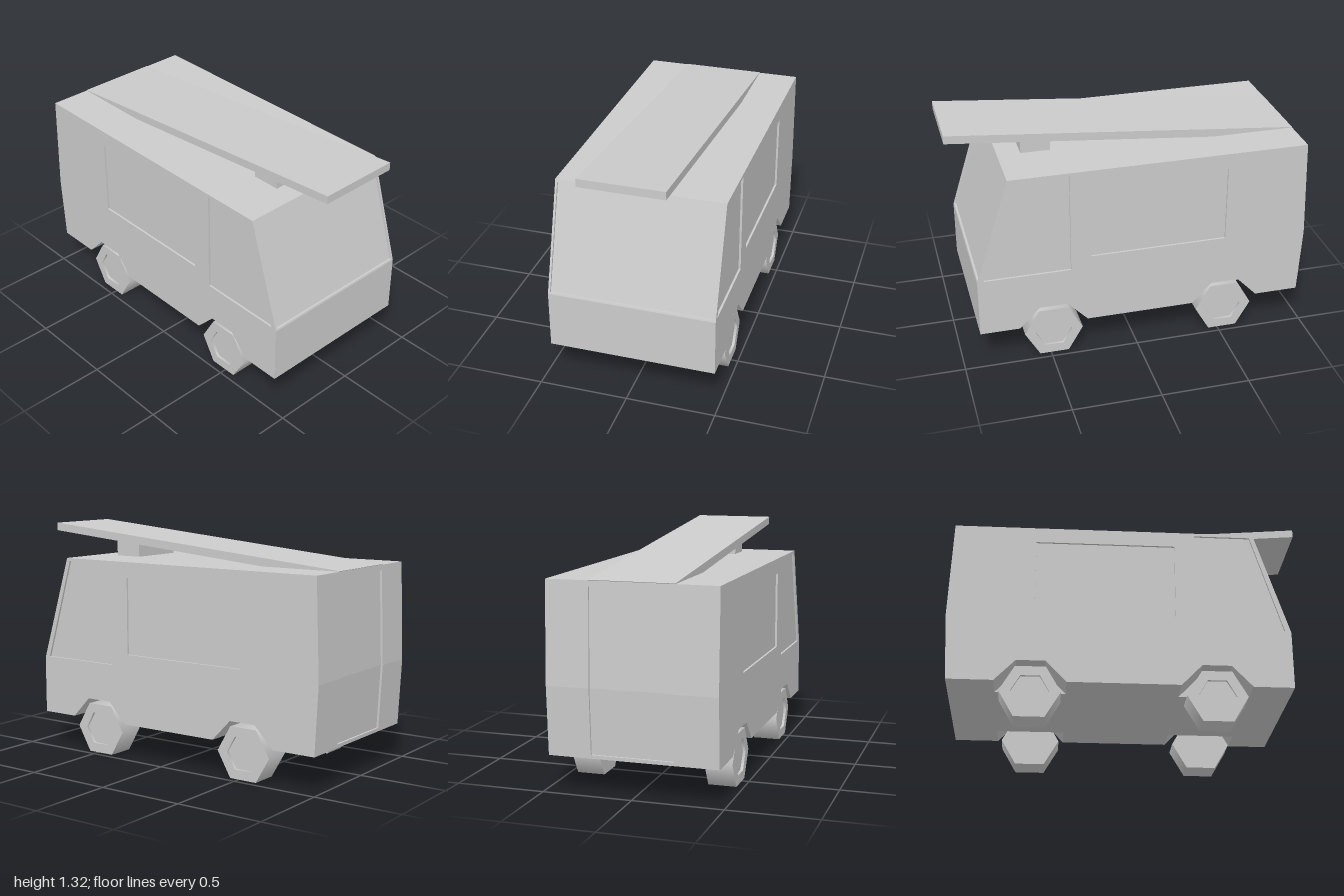
import * as THREE from 'three';

const grey = new THREE.MeshStandardMaterial({ color: 0xcccccc, side: THREE.DoubleSide });
const HALF = 0.47, SKIN = 0.012, INNER = HALF - SKIN, WELL = 0.3;

// Extrudes a side outline of [z, y] points from x0 to x1
function slab(name, points, x0, x1, holes = []) {
  const toVectors = (list) => list.map(([z, y]) => new THREE.Vector2(-z, y));
  const shape = new THREE.Shape(toVectors(points));
  for (const hole of holes) shape.holes.push(new THREE.Path(toVectors(hole)));
  const geometry = new THREE.ExtrudeGeometry(shape, { depth: x1 - x0, bevelEnabled: false });
  geometry.rotateY(Math.PI / 2).translate(x0, 0, 0);
  const mesh = new THREE.Mesh(geometry, grey);
  mesh.name = name;
  return mesh;
}

// Front and rear faces of the van at height y, i is the inset
const frontZ = (y, i = 0) => (y <= 0.53 ? 0.9 : 0.9 - ((y - 0.53) / 0.61) * 0.19) - i;
const rearZ = (y, i = 0) => -1 + 0.02 * (y > 0.58 ? (y - 0.58) / 0.56 : (0.58 - y) / 0.38) + i;

// Side outline, optionally with the wheel arches cut out
function outline(inset, arches) {
  const points = [0.2, 0.53, 1.14].map((y) => [frontZ(y, inset), y]);
  points.push(...[1.14, 0.58, 0.2].map((y) => [rearZ(y, inset), y]));
  if (arches) {
    for (const z of [-0.53, 0.48]) {
      points.push([z - 0.195, 0.2], [z - 0.08, 0.32], [z + 0.08, 0.32], [z + 0.195, 0.2]);
    }
  }
  return points;
}

// Thin strip following the front or rear face through the given heights
function strip(face, heights) {
  return [
    ...heights.map((y) => [face(y), y]),
    ...[...heights].reverse().map((y) => [face(y, SKIN), y]),
  ];
}

// Six-sided wheel with a recessed hub, facing +x
function makeWheel() {
  const wheel = new THREE.Group();
  const R = 0.167, HUB = 0.105, HALF_WIDTH = 0.079, DEPTH = 0.015;
  const add = (name, geometry) => {
    const mesh = new THREE.Mesh(geometry, grey);
    mesh.name = name;
    wheel.add(mesh);
  };
  const tube = (r, length) =>
    new THREE.CylinderGeometry(r, r, length, 6, 1, true).rotateZ(-Math.PI / 2);
  add('tread', tube(R, HALF_WIDTH * 2));
  add('hubRim', tube(HUB, DEPTH).translate(HALF_WIDTH - DEPTH / 2, 0, 0));
  add('tyreFace', new THREE.RingGeometry(HUB, R, 6).rotateY(Math.PI / 2).translate(HALF_WIDTH, 0, 0));
  add('hub', new THREE.CircleGeometry(HUB, 6).rotateY(Math.PI / 2).translate(HALF_WIDTH - DEPTH, 0, 0));
  add('innerFace', new THREE.CircleGeometry(R, 6).rotateY(-Math.PI / 2).translate(-HALF_WIDTH, 0, 0));
  return wheel;
}

export function createModel() {
  const van = new THREE.Group();
  van.name = 'van';

  // Body core, its inset faces show as the window and door panels
  van.add(slab('bodyCore', outline(SKIN, false), -WELL, WELL));

  const cabWindow = [[0.865, 0.54], [0.69, 1.122], [0.375, 1.122], [0.375, 0.54]];
  const sideWindow = [[0.26, 0.61], [0.26, 1.05], [-0.52, 1.05], [-0.52, 0.61]];
  for (const side of [1, -1]) {
    const label = side > 0 ? 'left' : 'right';
    const span = (a, b) => (side > 0 ? [a, b] : [-b, -a]);

    // Sides with wheel arches and window openings
    van.add(slab(label + 'BodySide', outline(SKIN, true), ...span(WELL, INNER)));
    van.add(slab(label + 'SidePanel', outline(0, true), ...span(INNER, HALF), [cabWindow, sideWindow]));
    van.add(slab(label + 'RearPanel', strip(rearZ, [0.2, 0.58, 1.14]), ...span(0.23, INNER)));

    // Wheels
    for (const [end, z] of [['Front', 0.48], ['Rear', -0.53]]) {
      const wheel = makeWheel();
      wheel.name = label + end + 'Wheel';
      wheel.position.set(side * 0.381, 0.145, z);
      if (side < 0) wheel.rotation.y = Math.PI;
      van.add(wheel);
    }
  }

  // Front panel and windscreen frame
  van.add(slab('frontPanel', strip(frontZ, [0.2, 0.53, 0.54]), -INNER, INNER));
  van.add(slab('windscreenHeader', strip(frontZ, [1.122, 1.14]), -INNER, INNER));

  // Rear door frame
  van.add(slab('rearDoorHeader', strip(rearZ, [1.11, 1.14]), -0.23, 0.23));
  van.add(slab('rearDoorSill', strip(rearZ, [0.2, 0.22]), -0.23, 0.23));

  // Sloping roof board and its support
  const board = [[1, 1.278], [1, 1.324], [-0.98, 1.143], [-0.97, 1.13], [-0.61, 1.13]];
  van.add(slab('roofBoard', board, -0.236, 0.236));
  van.add(slab('boardSupport', [[0.58, 1.13], [0.58, 1.238], [0.415, 1.223], [0.415, 1.13]], -0.166, 0.166));

  return van;
}
